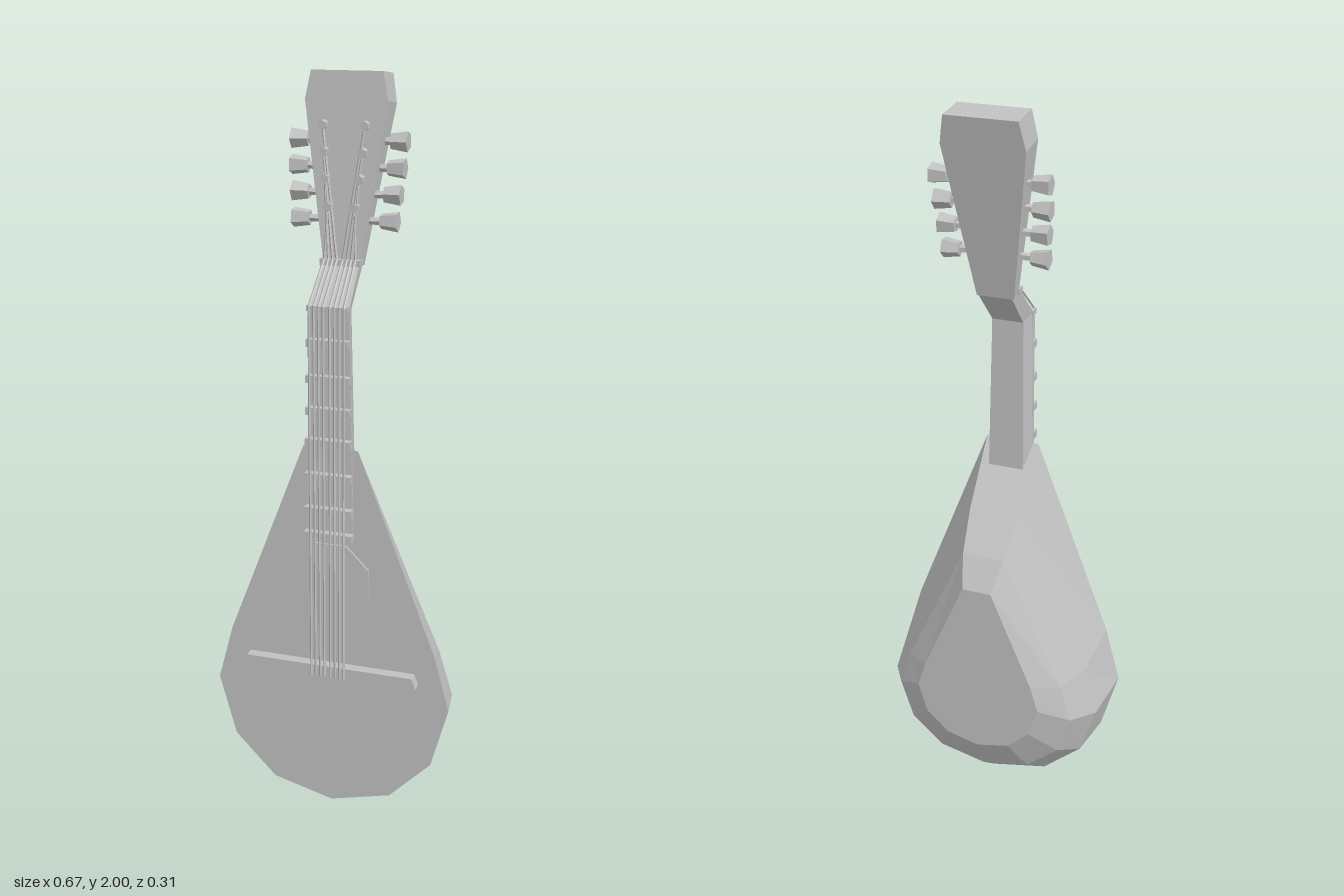
import * as THREE from 'three';

const grey = new THREE.MeshStandardMaterial({ color: 0xc0c0c0 });
grey.name = 'plain grey';
grey.flatShading = true;

function add(parent, name, geometry, x = 0, y = 0, z = 0) {
  const mesh = new THREE.Mesh(geometry, grey);
  mesh.name = name;
  mesh.position.set(x, y, z);
  parent.add(mesh);
  return mesh;
}

// Skin a row of convex cross-sections (each a list of [x, y, z]) and cap both ends
function loft(sections) {
  const out = [];
  const tri = (...points) => points.forEach((p) => out.push(...p));
  const n = sections[0].length;
  for (let s = 0; s < sections.length - 1; s++) {
    const a = sections[s], b = sections[s + 1];
    for (let i = 0; i < n; i++) {
      const j = (i + 1) % n;
      tri(a[i], b[i], a[j]);
      tri(a[j], b[i], b[j]);
    }
  }
  const first = sections[0], last = sections[sections.length - 1];
  for (let i = 1; i < n - 1; i++) {
    tri(first[0], first[i], first[i + 1]);
    tri(last[0], last[i + 1], last[i]);
  }
  const g = new THREE.BufferGeometry();
  g.setAttribute('position', new THREE.Float32BufferAttribute(out, 3));
  g.computeVertexNormals();
  return g;
}

// Straight rod between two points
function rod(parent, name, from, to, radius, sides) {
  const a = new THREE.Vector3(...from), b = new THREE.Vector3(...to);
  const dir = b.clone().sub(a);
  const mesh = add(parent, name, new THREE.CylinderGeometry(radius, radius, dir.length(), sides));
  mesh.position.copy(a).add(b).multiplyScalar(0.5);
  mesh.quaternion.setFromUnitVectors(new THREE.Vector3(0, 1, 0), dir.normalize());
  return mesh;
}

// Full outline, counter-clockwise, from its right half listed bottom to top
const mirror = (half) => [
  ...half,
  ...half.filter(([x]) => x > 0).reverse().map(([x, y]) => [-x, y]),
];

export function createModel() {
  const model = new THREE.Group();
  model.name = 'mandolin';

  // Bowl-backed body: the outline shrinks towards the back
  const outline = mirror([[0, 0], [0.17, 0.045], [0.286, 0.165], [0.333, 0.34], [0.29, 0.5], [0.075, 1.06]]);
  const rings = [ // z, width scale, bottom y, top y
    [0.12, 1, 0.003, 1.06],
    [-0.023, 0.93, 0.035, 0.905],
    [-0.105, 0.78, 0.105, 0.81],
    [-0.157, 0.54, 0.21, 0.73],
  ];
  add(model, 'body', loft(rings.map(([z, s, low, high]) =>
    outline.map(([x, y]) => [x * s, low + (y / 1.06) * (high - low), z]))));

  // Neck with its backward bend below the head
  const neck = [ // front width, back width, front y, front z, back y, back z
    [0.062, 0.05, 0.95, 0.121, 0.95, 0.065],
    [0.053, 0.043, 1.44, 0.121, 1.425, 0.077],
    [0.05, 0.045, 1.54, 0.025, 1.52, -0.012],
  ];
  add(model, 'neck', loft(neck.map(([f, b, fy, fz, by, bz]) =>
    [[-b, by, bz], [b, by, bz], [f, fy, fz], [-f, fy, fz]])));

  // Fingerboard and frets
  add(model, 'fingerboard', loft([[0.81, 0.064], [1.44, 0.053]].map(([y, w]) =>
    [[-w, y, 0.118], [w, y, 0.118], [w, y, 0.127], [-w, y, 0.127]])));
  [0.82, 0.89, 0.985, 1.08, 1.165, 1.25, 1.345].forEach((y) => {
    const width = 2 * (0.066 - 0.019 * (y - 0.81));
    add(model, 'fret', new THREE.BoxGeometry(width, 0.02, 0.024), 0, y, 0.136);
  });
  add(model, 'neckNut', new THREE.BoxGeometry(0.108, 0.014, 0.03), 0, 1.435, 0.134);
  add(model, 'headNut', new THREE.BoxGeometry(0.108, 0.016, 0.026), 0, 1.532, 0.028);

  // Sound hole disc
  const disc = add(model, 'soundHole', new THREE.CylinderGeometry(0.115, 0.115, 0.008, 8), 0, 0.685, 0.122);
  disc.rotation.set(Math.PI / 2, Math.PI / 8, 0);

  // Bridge
  add(model, 'bridge', loft([[0.41, 0.247], [0.44, 0.236]].map(([y, w]) =>
    [[-w, y, 0.118], [w, y, 0.118], [w, y, 0.15], [-w, y, 0.15]])));

  // Head, leaning back and thickening upwards
  const head = mirror([[0.05, 1.54], [0.108, 1.93], [0.094, 2]]);
  const frontZ = (y) => 0.025 - 0.098 * (y - 1.54);
  add(model, 'head', loft([
    head.map(([x, y]) => [x, y, frontZ(y)]),
    head.map(([x, y]) => [x, y - 0.02 + (y - 1.54) * 0.022, -0.012 - 0.213 * (y - 1.54)]),
  ]));

  // Posts, tuning pegs and strings, mirrored on both sides
  const posts = [[0.035, 1.67], [0.045, 1.74], [0.051, 1.805], [0.055, 1.87]];
  const pegs = [[0.117, 1.635, -0.008], [0.122, 1.7, -0.02], [0.128, 1.765, -0.03], [0.131, 1.83, -0.045]];
  for (const side of [1, -1]) {
    posts.forEach(([x, y], i) => {
      const z = frontZ(y);
      rod(model, 'stringPost', [side * x, y, z - 0.01], [side * x, y, z + 0.022], 0.012, 6);

      const [px, py, pz] = pegs[i];
      rod(model, 'pegShaft', [side * 0.06, py, pz], [side * px, py, pz], 0.01, 5);
      const peg = add(model, 'tuningPeg', new THREE.CylinderGeometry(0.027, 0.02, 0.045, 5), side * px, py, pz);
      peg.rotation.set(i * 0.7 + 0.4, 0, -side * Math.PI / 2);

      // Inner strings run to the highest posts
      const sx = side * (0.046 - i * 0.0125);
      const path = [
        [sx, 0.41, 0.152], [sx, 1.44, 0.15],
        [sx * 0.9, 1.54, 0.04], [side * x, y, z + 0.014],
      ];
      for (let k = 0; k < 3; k++) rod(model, 'string', path[k], path[k + 1], 0.0035, 4);
    });
  }
  return model;
}
